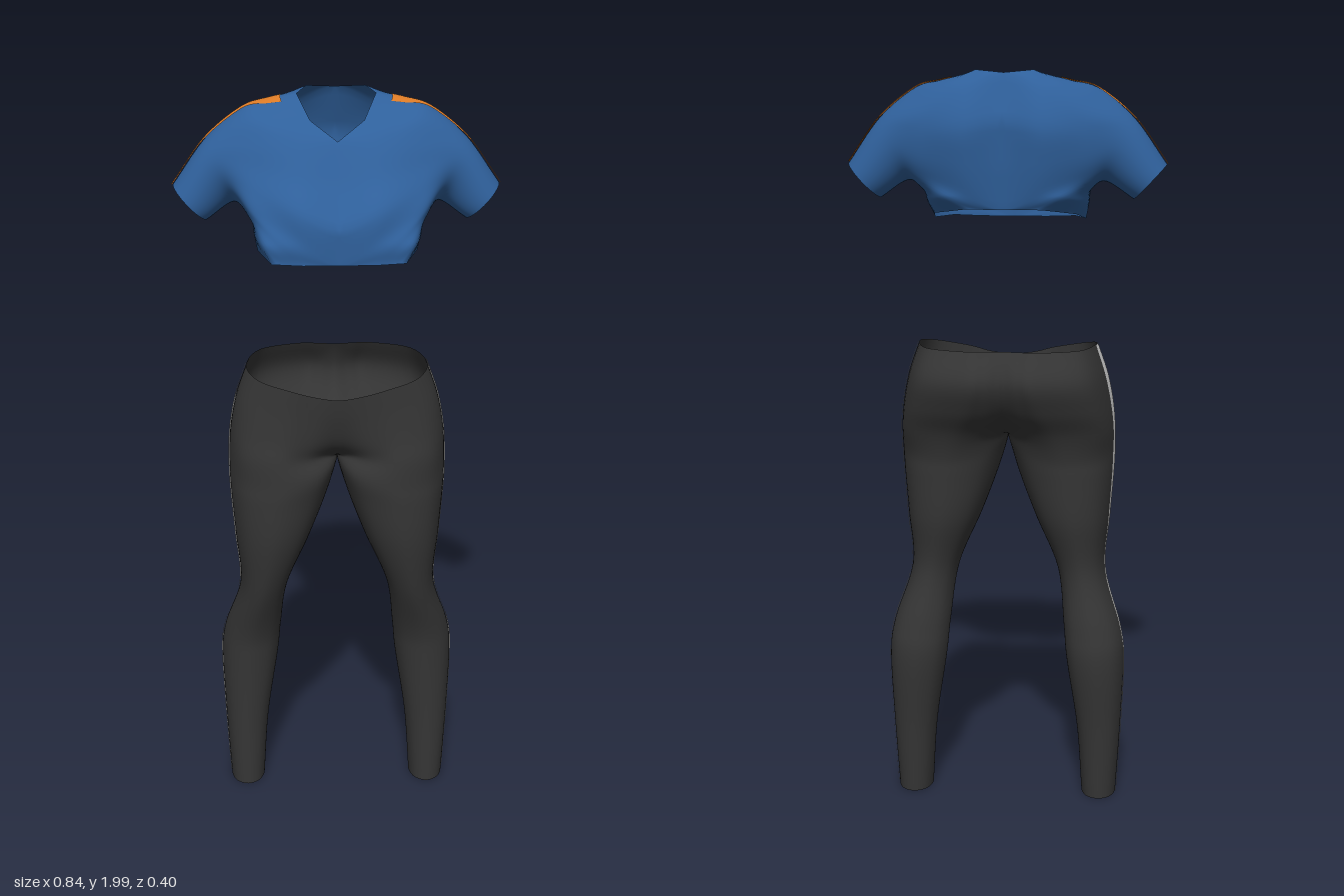
import * as THREE from 'three';
import { mergeVertices } from 'three/addons/utils/BufferGeometryUtils.js';

const V = (x, y, z) => new THREE.Vector3(x, y, z);
const mix = THREE.MathUtils.lerp;
const clamp01 = (t) => Math.min(1, Math.max(0, t));
const mirrorX = (p) => V(-p.x, p.y, p.z);
const beyond = (a, b) => a.clone().multiplyScalar(2).sub(b);

// Catmull-Rom point between b and c
function spline(a, b, c, d, t) {
  const f = (k) => 0.5 * (2 * b[k] + (c[k] - a[k]) * t + (2 * a[k] - 5 * b[k] + 4 * c[k] - d[k]) * t * t
    + (3 * b[k] - a[k] - 3 * c[k] + d[k]) * t * t * t);
  return V(f('x'), f('y'), f('z'));
}

// Control points of the cross-section at row position v
function sectionAt(rows, v) {
  const last = rows.length - 1;
  const i = Math.min(Math.floor(v), last - 1);
  return rows[i].map((b, k) => {
    const c = rows[i + 1][k];
    const a = i > 0 ? rows[i - 1][k] : b.x === 0 ? mirrorX(c) : beyond(b, c);
    const d = i + 2 <= last ? rows[i + 2][k] : beyond(c, b);
    return spline(a, b, c, d, v - i);
  });
}

// Grid of points on both mirrored halves, welded into one smooth surface
function buildGrid(point, nu, nv, flip) {
  const pos = [], index = [];
  for (const side of [1, -1]) {
    const base = pos.length / 3;
    for (let j = 0; j <= nv; j++) for (let i = 0; i <= nu; i++) {
      const p = point(i / nu, j / nv);
      pos.push(side * p.x, p.y, p.z);
    }
    for (let j = 0; j < nv; j++) for (let i = 0; i < nu; i++) {
      const a = base + j * (nu + 1) + i, b = a + 1, c = a + nu + 1, d = c + 1;
      if ((side > 0) !== flip) index.push(a, b, c, b, d, c);
      else index.push(a, c, b, b, c, d);
    }
  }
  let geo = new THREE.BufferGeometry();
  geo.setAttribute('position', new THREE.Float32BufferAttribute(pos, 3));
  geo.setIndex(index);
  geo = mergeVertices(geo, 1e-5);
  geo.computeVertexNormals();
  return geo;
}

// ---- Leggings: each hip row runs from the front seam round the side to the back seam
function hipRow([xs, ys, yF, zF, zB, xf, zf, xb, zb]) {
  const zs = 0.015;
  return [
    V(0, yF, zF), V(xf * 0.5, mix(yF, ys, 0.12), mix(zF, zf, 0.65)), V(xf, mix(yF, ys, 0.4), zf),
    V(mix(xf, xs, 0.72), mix(yF, ys, 0.75), mix(zs, zf, 0.72)), V(xs, ys, zs),
    V(mix(xb, xs, 0.75), ys, mix(zs, zb, 0.72)), V(xb, ys, zb),
    V(xb * 0.45, ys, mix(zB, zb, 0.7)), V(0, ys, zB),
  ];
}

// Closed oval starting and ending on the inner thigh, raised there at the crotch
function legRow([y, xi, xo, zf, zb]) {
  const lift = xi === 0 ? 0.04 : 0;
  return Array.from({ length: 9 }, (_, k) => {
    const a = (k % 8) * Math.PI / 4, c = Math.cos(a);
    const x = k % 8 === 0 ? xi : (xi + xo) / 2 - c * (xo - xi) / 2;
    return V(x, y + lift * Math.max(0, c) ** 2, (zf + zb) / 2 + Math.sin(a) * (zf - zb) / 2);
  });
}

// side x, y; front seam y, z; back seam z; front peak x, z; back peak x, z
const hips = [
  [0.24, 1.28, 1.225, 0.145, -0.155, 0.12, 0.137, 0.1, -0.163],
  [0.268, 1.2, 1.16, 0.135, -0.185, 0.14, 0.136, 0.095, -0.204],
  [0.284, 1.12, 1.09, 0.112, -0.15, 0.155, 0.141, 0.11, -0.176],
  [0.29, 1.05, 1.045, 0.07, -0.07, 0.16, 0.15, 0.135, -0.13],
];
// y, inner x, outer x, front z, back z
const legs = [
  [0.98, 0, 0.29, 0.156, -0.105],
  [0.92, 0.03, 0.287, 0.157, -0.1],
  [0.8, 0.075, 0.278, 0.15, -0.093],
  [0.65, 0.138, 0.268, 0.117, -0.067],
  [0.5, 0.158, 0.313, 0.066, -0.1],
  [0.4, 0.168, 0.325, 0.054, -0.113],
  [0.2, 0.198, 0.318, 0.05, -0.092],
  [0.005, 0.212, 0.307, 0.055, -0.08],
];
const legRows = [...hips.map(hipRow), ...legs.map(legRow)];

function legPoint(u, v) {
  const s = sectionAt(legRows, v), i = Math.min(Math.floor(u), 7);
  const closed = clamp01(v - 3); // mirrored seam at the hips, closed loop on the legs
  const a = i > 0 ? s[i - 1] : mirrorX(s[1]).lerp(s[7], closed);
  const d = i < 7 ? s[i + 2] : mirrorX(s[7]).lerp(s[1], closed);
  const p = spline(a, s[i], s[i + 1], d, u - i);
  p.x = Math.max(0, p.x);
  return p;
}

// ---- Crop top: each row is a loop round the arm, from the border out to the cuff
// Border: neckline, front seam, hem, back seam; pairs are y, z on the centre line
const border = [
  [0.1, 1.985, -0.03], [0.068, 1.93, 0.038], [1.885, 0.082], [1.785, 0.135],
  [1.69, 0.195], [1.6, 0.195], [0.09, 1.6, 0.195], [0.168, 1.603, 0.19],
  [0.204, 1.607, 0.07], [0.185, 1.63, -0.06], [0.1, 1.645, -0.128], [1.645, -0.128],
  [1.75, -0.14], [1.87, -0.148], [1.99, -0.103], [0.075, 1.997, -0.078],
].map((p) => (p.length === 2 ? V(0, ...p) : V(...p)));

// Armhole: y, z pairs, flaring outward above and below
const armhole = [
  [1.952, -0.03], [1.927, 0.022], [1.875, 0.06], [1.82, 0.087],
  [1.77, 0.115], [1.73, 0.132], [1.71, 0.128], [1.696, 0.1],
  [1.692, 0.03], [1.692, -0.04], [1.707, -0.09], [1.737, -0.115],
  [1.78, -0.13], [1.84, -0.134], [1.89, -0.12], [1.93, -0.08],
].map(([y, z]) => V(0.206 + 0.03 * ((y - 1.8) / 0.15) ** 2, y, z));

// Chest and back: halfway between the two, rounded outward
const chest = border.map((p, k) => p.clone().lerp(armhole[k], 0.5).multiply(V(1, 1, 1.17)));

function sleeveRow(top, bottom, zFront, zBack) {
  return Array.from({ length: 16 }, (_, k) => {
    const a = k * Math.PI / 8, t = 0.5 + Math.cos(a) / 2;
    return V(mix(bottom[0], top[0], t), mix(bottom[1], top[1], t),
      (zFront + zBack) / 2 + Math.sin(a) * (zFront - zBack) / 2);
  });
}

const topRows = [
  border, chest, armhole,
  sleeveRow([0.332, 1.875], [0.262, 1.712], 0.045, -0.1),
  sleeveRow([0.418, 1.757], [0.333, 1.667], 0.042, -0.088),
];

function topPoint(u, v) {
  const s = sectionAt(topRows, v), i = Math.floor(u), t = u - i;
  const at = (k) => s[(k + 16) % 16];
  // straight segments on the outer border keep its corners crisp
  return at(i).clone().lerp(at(i + 1), t).lerp(spline(at(i - 1), at(i), at(i + 1), at(i + 2), t), clamp01(v));
}

export function createModel() {
  const material = (name, color) => {
    const m = new THREE.MeshStandardMaterial({ color, side: THREE.DoubleSide });
    m.name = name;
    return m;
  };
  const blue = material('blue fabric', 0x2f609b);
  const charcoal = material('charcoal fabric', 0x353535);
  const orange = material('orange stripe', 0xdb7a26);
  const grey = material('light grey stripe', 0xcfcfcf);

  const model = new THREE.Group();
  const garment = (name) => {
    const g = new THREE.Group();
    g.name = name;
    model.add(g);
    return g;
  };
  const add = (group, name, geo, mat) => {
    const mesh = new THREE.Mesh(geo, mat);
    mesh.name = name;
    group.add(mesh);
  };

  // Leggings with a stripe down each outer side
  const leggings = garment('leggings');
  const legEnd = legRows.length - 1;
  add(leggings, 'leggingsFabric', buildGrid((u, v) => legPoint(u * 8, v * legEnd), 48, legEnd * 6, true), charcoal);
  add(leggings, 'legStripes', buildGrid((u, v) => {
    const half = mix(0.15, 0.08, clamp01((v * legEnd - 6) / 4));
    const p = legPoint(4.2 + (u * 2 - 1) * half, v * legEnd);
    p.x += 0.003;
    return p;
  }, 4, legEnd * 6, true), grey);

  // Crop top with a stripe over each shoulder
  const cropTop = garment('cropTop');
  const topEnd = topRows.length - 1;
  add(cropTop, 'cropTopFabric', buildGrid((u, v) => topPoint(u * 16, v * topEnd), 80, topEnd * 10, false), blue);
  add(cropTop, 'sleeveStripes', buildGrid((u, v) => {
    const row = mix(0.62, topEnd, v);
    const half = mix(0.27, 0.52, clamp01(row - 2));
    const p = topPoint((u * 2 - 1) * half, row);
    return p.add(V(0.003 * clamp01((row - 1) / 2), 0.003, 0));
  }, 6, 36, false), orange);

  return model;
}
